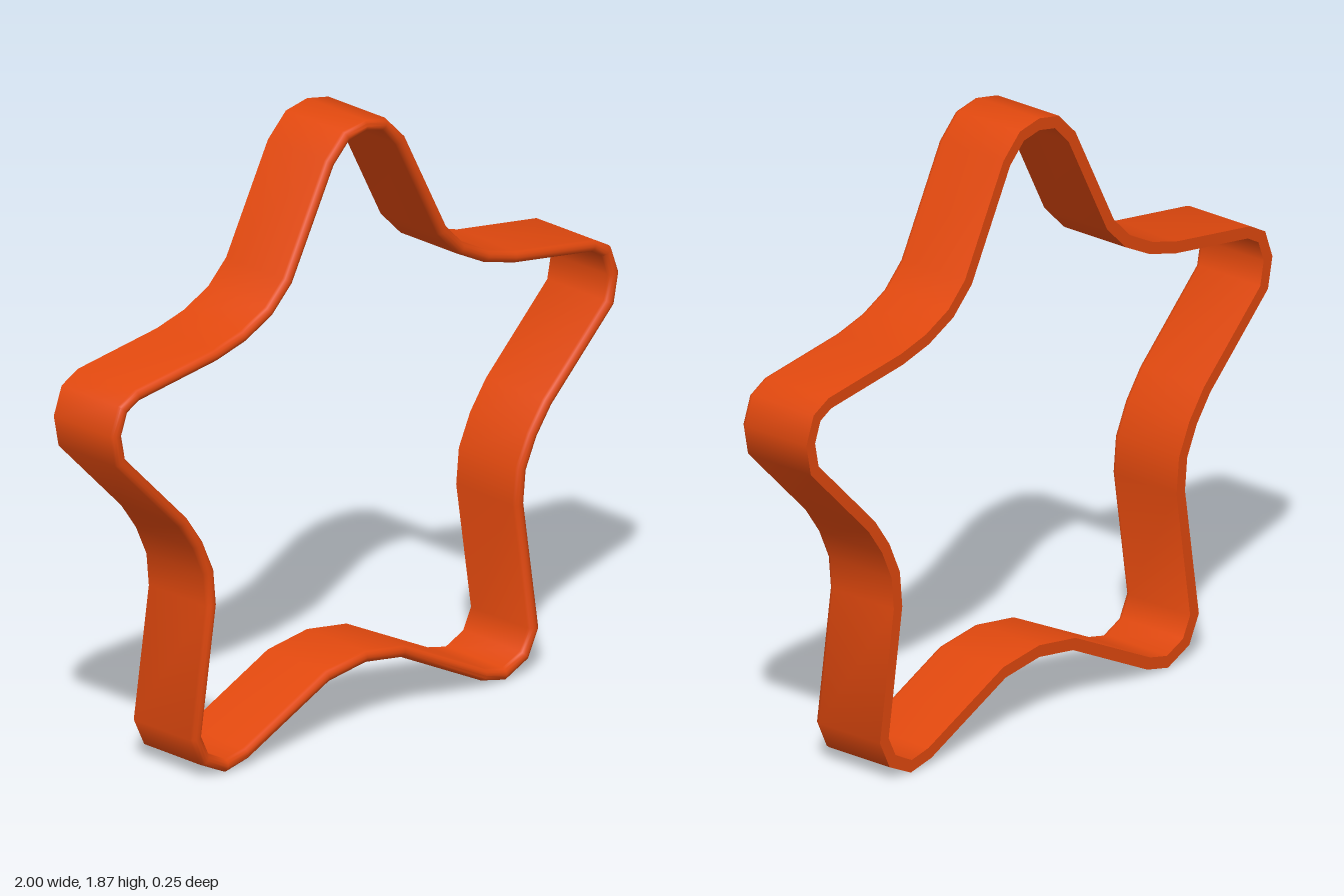
import * as THREE from 'three';
import { toCreasedNormals } from 'three/addons/utils/BufferGeometryUtils.js';

// Centre line of the star wall, right half from top tip to bottom notch
const HALF = [
  [0, 1.85], [0.075, 1.835], [0.14, 1.77], [0.305, 1.45], [0.38, 1.375], [0.48, 1.325], [0.59, 1.295],
  [0.90, 1.25], [0.955, 1.22], [0.982, 1.145], [0.965, 1.06], [0.72, 0.815], [0.66, 0.73],
  [0.617, 0.635], [0.607, 0.53], [0.666, 0.135], [0.63, 0.06], [0.55, 0.022], [0.47, 0.04],
  [0.15, 0.195], [0, 0.217],
];
const WALL = 0.018; // half the wall thickness
const BACK = -0.13, FRONT = 0.125;

// Wall section as [outward offset, z]: square at the back, rounded at the front
function wallSection() {
  const section = [[WALL, BACK]];
  const steps = 6;
  for (let i = 0; i <= steps; i++) {
    const a = (i / steps) * Math.PI;
    section.push([WALL * Math.cos(a), FRONT - WALL + WALL * Math.sin(a)]);
  }
  section.push([-WALL, BACK]);
  return section;
}

// Sweep the section round the closed path with mitred corners
function sweepWall(path, section) {
  const positions = [], index = [];
  const n = path.length, m = section.length;
  path.forEach((p, i) => {
    const before = p.clone().sub(path[(i + n - 1) % n]).normalize();
    const after = path[(i + 1) % n].clone().sub(p).normalize();
    const tangent = before.clone().add(after).normalize();
    const miter = 1 / tangent.dot(after);
    for (const [offset, z] of section) {
      positions.push(p.x - tangent.y * offset * miter, p.y + tangent.x * offset * miter, z);
    }
    for (let j = 0; j < m; j++) {
      const next = ((i + 1) % n) * m, k = (j + 1) % m;
      const a = i * m + j, b = i * m + k, c = next + k, d = next + j;
      index.push(a, b, c, a, c, d);
    }
  });
  const geometry = new THREE.BufferGeometry();
  geometry.setAttribute('position', new THREE.Float32BufferAttribute(positions, 3));
  geometry.setIndex(index);
  return toCreasedNormals(geometry, 0.8);
}

export function createModel() {
  const group = new THREE.Group();
  group.name = 'starCookieCutter';

  // Mirror the half outline to close the star
  const right = HALF.map(([x, y]) => new THREE.Vector2(x, y));
  const left = HALF.slice(1, -1).reverse().map(([x, y]) => new THREE.Vector2(-x, y));

  const wall = new THREE.Mesh(
    sweepWall([...right, ...left], wallSection()),
    new THREE.MeshStandardMaterial({ color: 0xe0480e }),
  );
  wall.name = 'starWall';
  group.add(wall);
  return group;
}
